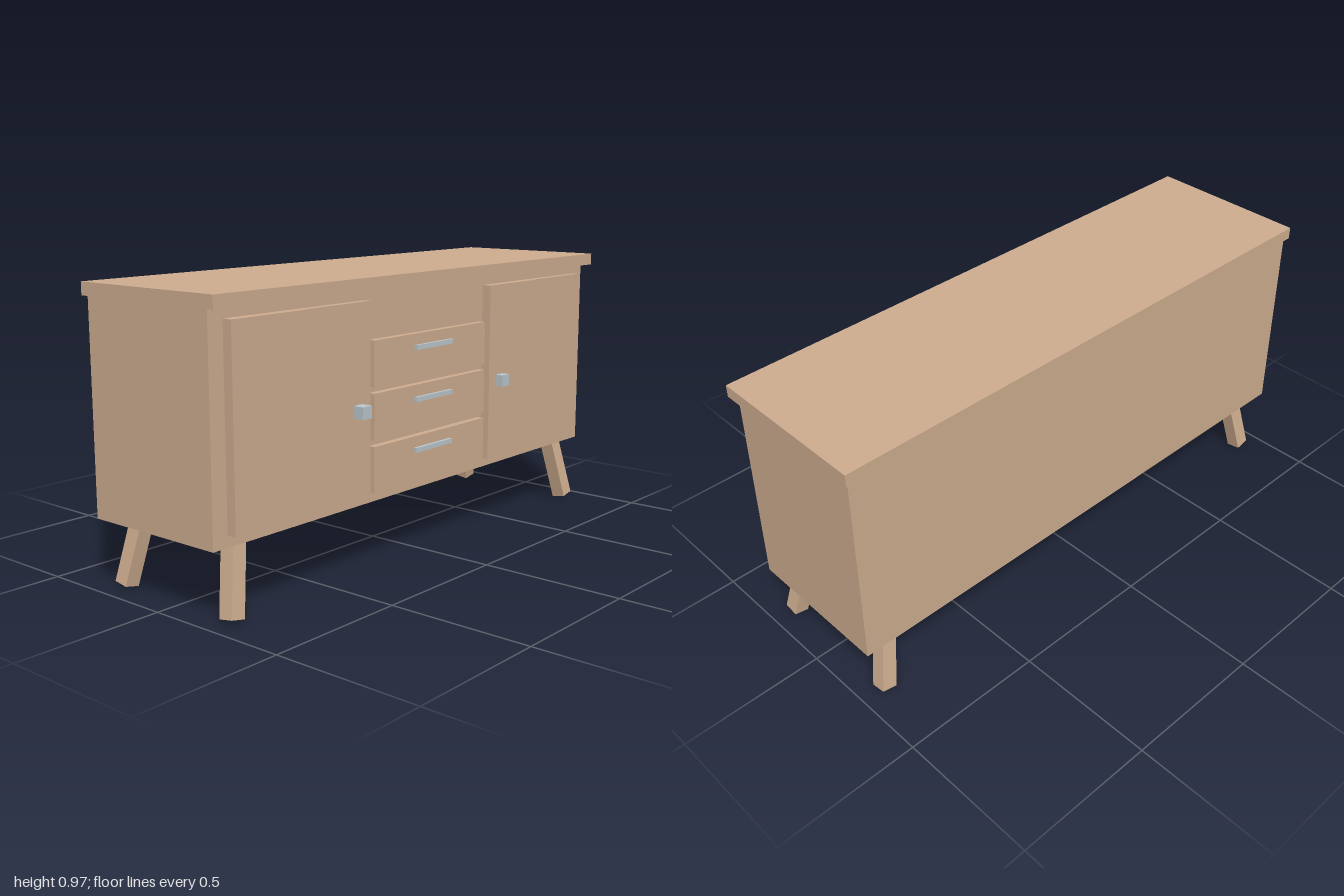
import * as THREE from 'three';

export function createModel() {
  const model = new THREE.Group();
  model.name = 'sideboard';

  const wood = new THREE.MeshStandardMaterial({ color: 0xcfae90 });
  wood.name = 'wood';
  const metal = new THREE.MeshStandardMaterial({ color: 0xbcc7cc });
  metal.name = 'metal';

  // Box given by its lower and upper limits on each axis
  const box = (name, material, [x0, x1], [y0, y1], [z0, z1], parent = model) => {
    const mesh = new THREE.Mesh(new THREE.BoxGeometry(x1 - x0, y1 - y0, z1 - z0), material);
    mesh.position.set((x0 + x1) / 2, (y0 + y1) / 2, (z0 + z1) / 2);
    mesh.name = name;
    parent.add(mesh);
    return mesh;
  };

  // Cabinet and overhanging top
  box('cabinet', wood, [-0.987, 0.987], [0.235, 0.933], [-0.29, 0.24]);
  box('top', wood, [-1, 1], [0.933, 0.975], [-0.303, 0.279]);

  // Sliding-style doors: one panel stands slightly proud of the other
  for (const [side, x0, x1] of [['right', -0.93, -0.324], ['left', 0.32, 0.926]]) {
    const door = new THREE.Group();
    door.name = `${side}Door`;
    model.add(door);
    const mid = (x0 + x1) / 2;
    box('raisedPanel', wood, [x0, mid], [0.272, 0.9], [0.24, 0.274], door);
    box('loweredPanel', wood, [mid, x1], [0.272, 0.9], [0.24, 0.265], door);
    const knobX = side === 'left' ? 0.382 : -0.385;
    box('knob', metal, [knobX - 0.021, knobX + 0.021], [0.535, 0.576], [0.26, 0.304], door);
  }

  // Three drawers with bar handles
  [[0.62, 0.772], [0.445, 0.6], [0.272, 0.425]].forEach(([y0, y1], i) => {
    const drawer = new THREE.Group();
    drawer.name = `drawer${i + 1}`;
    model.add(drawer);
    box('drawerFront', wood, [-0.305, 0.302], [y0, y1], [0.24, 0.265], drawer);
    const handleY = [0.727, 0.552, 0.379][i];
    box('handle', metal, [-0.1, 0.098], [handleY - 0.008, handleY + 0.008], [0.26, 0.277], drawer);
  });

  // Square legs splayed outwards, their feet cut square to the leg
  const addLeg = (name, sx, sz, topZ, footZ) => {
    const top = new THREE.Vector3(sx * 0.861, 0.255, topZ);
    const foot = new THREE.Vector3(sx * 0.912, 0.0105, footZ);
    const axis = top.clone().sub(foot);
    const leg = new THREE.Mesh(new THREE.BoxGeometry(0.053, axis.length(), 0.053), wood);
    leg.position.copy(top).add(foot).multiplyScalar(0.5);
    leg.quaternion.setFromUnitVectors(new THREE.Vector3(0, 1, 0), axis.normalize());
    leg.name = name;
    model.add(leg);
  };
  for (const [side, sx] of [['left', 1], ['right', -1]]) {
    addLeg(`${side}FrontLeg`, sx, 1, 0.191, 0.231);
    addLeg(`${side}BackLeg`, sx, -1, -0.214, -0.253);
  }

  return model;
}
